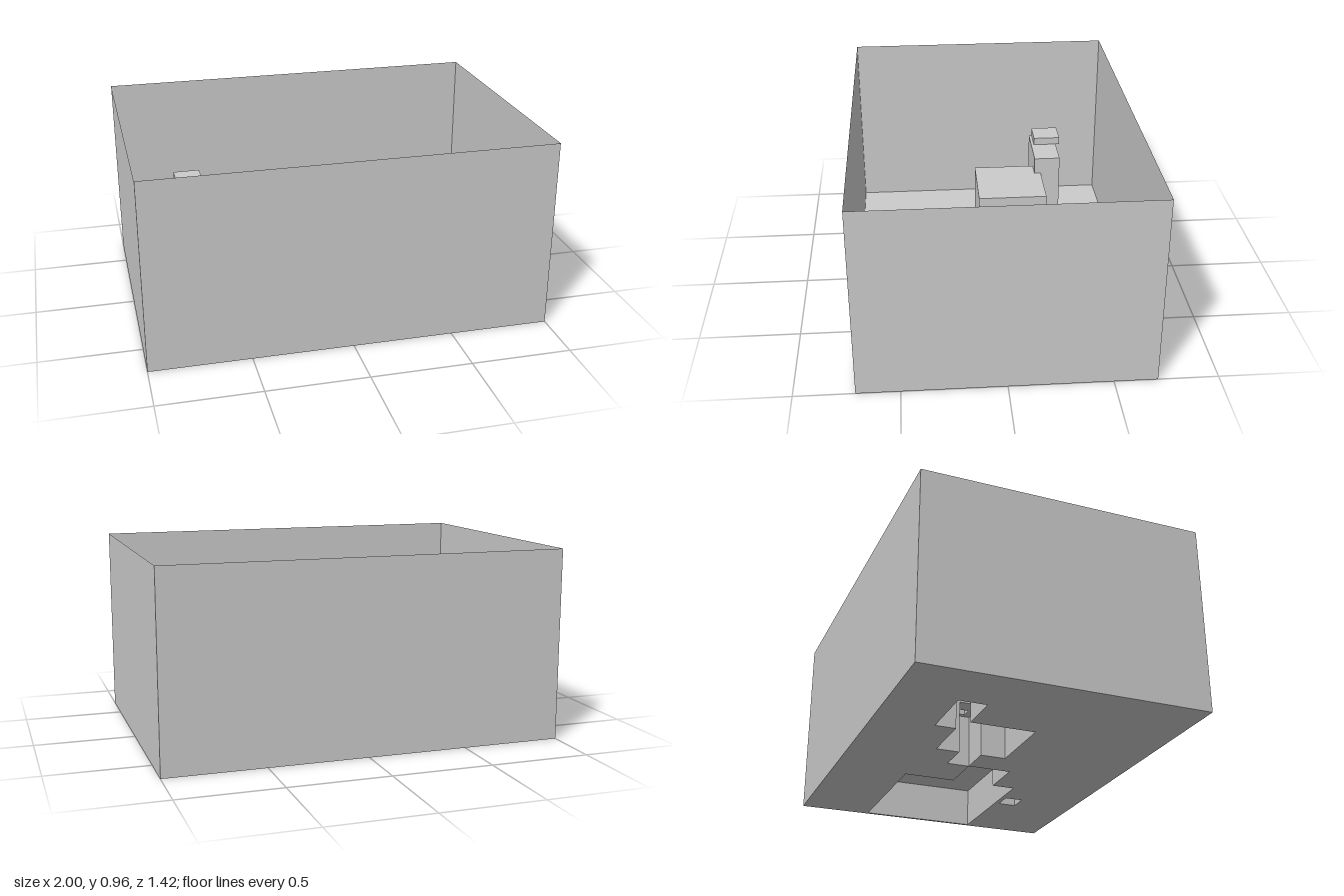
import * as THREE from 'three';

const W = 1, D = 0.71, H = 0.96;

// Raised hollow blocks: x0, x1, z0, z1, height
const BLOCKS = [
  [0.29, 0.985, -0.335, 0.275, 0.21],    // wide low block
  [0.06, 0.335, -0.07, 0.155, 0.34],     // middle block
  [-0.11, 0.06, -0.185, -0.07, 0.27],    // link block
  [-0.02, 0.035, -0.16, -0.105, 0.35],   // small chimney
  [-0.485, -0.11, -0.305, 0.06, 0.405],  // tall block
  [-0.70, -0.39, -0.41, -0.27, 0.495],   // tallest block
  [0.455, 0.555, 0.30, 0.395, 0.46],     // free-standing tower
];

const material = new THREE.MeshStandardMaterial({ color: 0xcccccc, side: THREE.DoubleSide });

const heightAt = (x, z) => BLOCKS.reduce((h, [x0, x1, z0, z1, y]) =>
  (x > x0 && x < x1 && z > z0 && z < z1 ? Math.max(h, y) : h), 0);

const sortedCuts = (edge, a, b) =>
  [...new Set([-edge, edge, ...BLOCKS.flatMap((k) => [k[a], k[b]])])].sort((p, q) => p - q);

function quadMesh(name, quads) {
  const points = quads.flatMap(([a, b, c, d]) => [a, b, c, a, c, d].flat());
  const geometry = new THREE.BufferGeometry();
  geometry.setAttribute('position', new THREE.Float32BufferAttribute(points, 3));
  geometry.computeVertexNormals();
  const mesh = new THREE.Mesh(geometry, material);
  mesh.name = name;
  return mesh;
}

// One thin sheet: flat cells at each height, joined by upright steps
function steppedSheet() {
  const xs = sortedCuts(W, 0, 1), zs = sortedCuts(D, 2, 3);
  const floor = [], tops = [], sides = [];
  const cell = (i, j) => heightAt((xs[i] + xs[i + 1]) / 2, (zs[j] + zs[j + 1]) / 2);
  for (let i = 0; i < xs.length - 1; i++) {
    for (let j = 0; j < zs.length - 1; j++) {
      const x0 = xs[i], x1 = xs[i + 1], z0 = zs[j], z1 = zs[j + 1], h = cell(i, j);
      (h > 0 ? tops : floor).push([[x0, h, z0], [x0, h, z1], [x1, h, z1], [x1, h, z0]]);
      if (i < xs.length - 2) {
        const n = cell(i + 1, j);
        const side = [[x1, n, z1], [x1, n, z0], [x1, h, z0], [x1, h, z1]];
        if (n !== h) sides.push(side);
      }
      if (j < zs.length - 2) {
        const n = cell(i, j + 1);
        const side = [[x0, n, z1], [x1, n, z1], [x1, h, z1], [x0, h, z1]];
        if (n !== h) sides.push(side);
      }
    }
  }
  return [quadMesh('floor', floor), quadMesh('blockTops', tops), quadMesh('blockSides', sides)];
}

export function createModel() {
  const group = new THREE.Group();
  group.name = 'openBoxWithBlocks';
  group.add(...steppedSheet());

  // Thin outer walls, open at the top
  const corners = [[-W, D], [W, D], [W, -D], [-W, -D]];
  ['frontWall', 'leftWall', 'backWall', 'rightWall'].forEach((name, i) => {
    const [ax, az] = corners[i], [bx, bz] = corners[(i + 1) % 4];
    group.add(quadMesh(name, [[[ax, 0, az], [bx, 0, bz], [bx, H, bz], [ax, H, az]]]));
  });

  // Overhanging cap on the tallest block
  const cap = new THREE.Mesh(new THREE.BoxGeometry(0.14, 0.04, 0.145), material);
  cap.name = 'cap';
  cap.position.set(-0.645, 0.515, -0.358);
  group.add(cap);
  return group;
}
